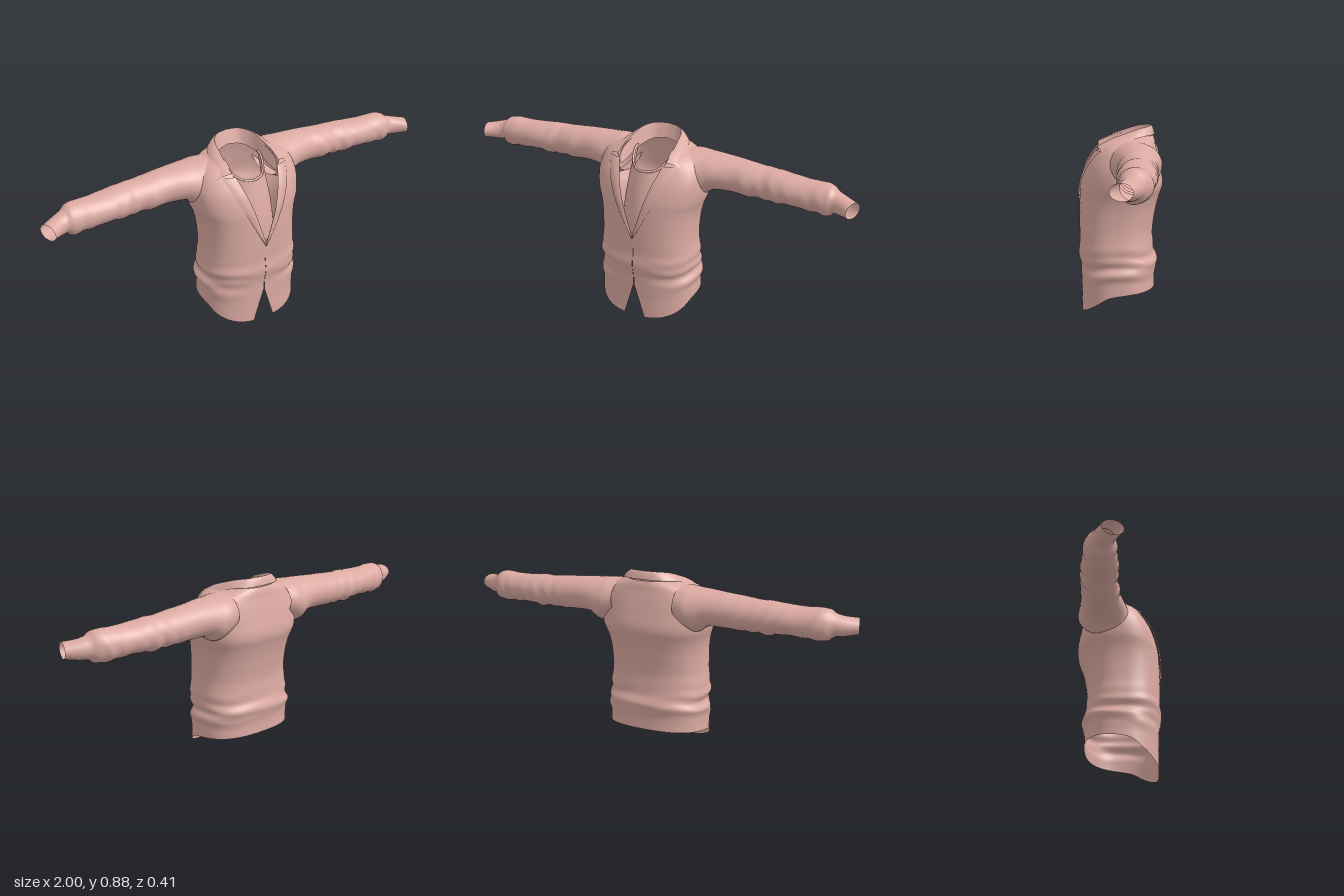
import * as THREE from 'three';

const cloth = new THREE.MeshStandardMaterial({ color: 0xdbaaa2, side: THREE.DoubleSide });
cloth.name = 'dusty pink cloth';

// Smooth interpolation of a table whose rows start with the key value
function at(table, t) {
  const n = table.length - 1;
  let i = 0;
  while (i < n - 1 && t > table[i + 1][0]) i++;
  const a = table[i], b = table[i + 1], h = b[0] - a[0];
  const k = Math.min(1, Math.max(0, (t - a[0]) / h));
  const slope = (j, c) => {
    const p = table[Math.max(0, j - 1)], q = table[Math.min(n, j + 1)];
    return (q[c] - p[c]) / (q[0] - p[0]);
  };
  return a.slice(1).map((v, j) => {
    const c = j + 1, k2 = k * k, k3 = k2 * k;
    return v * (2 * k3 - 3 * k2 + 1) + b[c] * (3 * k2 - 2 * k3)
      + h * (slope(i, c) * (k3 - 2 * k2 + k) + slope(i + 1, c) * (k3 - k2));
  });
}

// Grid surface from point(u, v) with u and v in 0..1; wrap closes it along u
function surface(name, nu, nv, point, wrap = false) {
  const pos = [], index = [], cols = wrap ? nu : nu + 1;
  for (let j = 0; j <= nv; j++)
    for (let i = 0; i < cols; i++) pos.push(...point(i / nu, j / nv));
  for (let j = 0; j < nv; j++)
    for (let i = 0; i < nu; i++) {
      const a = j * cols + i, b = j * cols + (i + 1) % cols;
      index.push(a, b, a + cols, b, b + cols, a + cols);
    }
  const g = new THREE.BufferGeometry();
  g.setAttribute('position', new THREE.Float32BufferAttribute(pos, 3));
  g.setIndex(index);
  g.computeVertexNormals();
  const mesh = new THREE.Mesh(g, cloth);
  mesh.name = name;
  return mesh;
}

// Torso: height, half width, front z, back z
const BODY = [
  [0, 0.243, 0.19, -0.16], [0.1, 0.243, 0.19, -0.16], [0.17, 0.252, 0.192, -0.168],
  [0.22, 0.238, 0.193, -0.174], [0.29, 0.243, 0.205, -0.157], [0.34, 0.24, 0.199, -0.153],
  [0.4, 0.233, 0.2, -0.15], [0.5, 0.235, 0.2, -0.165], [0.56, 0.245, 0.198, -0.18],
  [0.62, 0.265, 0.193, -0.197], [0.7, 0.27, 0.17, -0.185], [0.76, 0.255, 0.138, -0.172],
  [0.8, 0.225, 0.11, -0.162], [0.825, 0.175, 0.085, -0.158], [0.845, 0.115, 0.06, -0.15],
];
const POWER = 2.5;
// Half width of the front opening: hem slit below, neck V above
const VEE = [[0.43, 0], [0.52, 0.03], [0.62, 0.062], [0.7, 0.088], [0.8, 0.12], [0.85, 0.113]];
const opening = (y) => (y < 0.18 ? 0.055 * (1 - y / 0.18) : y > 0.43 ? at(VEE, y)[0] : 0.0005);

function frontZ(x, y) {
  const [w, f, b] = at(BODY, y), c = (f + b) / 2;
  return c + (f - c) * Math.pow(Math.max(0, 1 - Math.pow(Math.abs(x) / w, POWER)), 1 / POWER);
}

function torsoPoint(u, v) {
  const row = v * 0.845;
  const [w, f, b] = at(BODY, row);
  const c = (f + b) / 2, r = (f - b) / 2;
  const start = Math.asin(Math.min(0.999, Math.pow(opening(row) / w, POWER / 2)));
  const a = start + u * (2 * Math.PI - 2 * start);
  const s = Math.sin(a), k = Math.cos(a);
  let x = w * Math.sign(s) * Math.pow(Math.abs(s), 2 / POWER);
  let z = c + r * Math.sign(k) * Math.pow(Math.abs(k), 2 / POWER);
  // Hem sweeps up from the front points to the back
  const hem = at([[-0.18, 0.13], [0.05, 0.104], [0.12, 0.06], [0.2, 0]], z)[0];
  const y = row < 0.3 ? hem + (row / 0.3) * (0.3 - hem) : row;
  // Gathered folds round the waist
  const band = Math.exp(-Math.pow((y - 0.26) / 0.07, 2)) * Math.min(1, Math.abs(s) * 1.5);
  const fold = 1 + 0.018 * band * Math.sin(y * 95 + x * 9 + Math.sin(a * 3));
  return [x * fold, y, c + (z - c) * fold];
}

// Sleeve: x, centre y, centre z, radius y, radius z
const SLEEVE = [
  [0.16, 0.742, -0.055, 0.086, 0.118], [0.21, 0.73, -0.062, 0.098, 0.124],
  [0.25, 0.722, -0.065, 0.103, 0.118], [0.3, 0.736, -0.067, 0.086, 0.106],
  [0.4, 0.735, -0.073, 0.08, 0.09], [0.47, 0.73, -0.07, 0.079, 0.09],
  [0.54, 0.728, -0.073, 0.075, 0.083], [0.6, 0.725, -0.069, 0.077, 0.085],
  [0.68, 0.726, -0.064, 0.069, 0.085], [0.76, 0.722, -0.06, 0.07, 0.077],
  [0.83, 0.722, -0.056, 0.073, 0.073], [0.87, 0.72, -0.05, 0.07, 0.065],
  [0.89, 0.722, -0.045, 0.053, 0.052], [0.93, 0.718, -0.03, 0.045, 0.048],
  [0.985, 0.718, 0.002, 0.036, 0.047],
];
function sleevePoint(side) {
  return (u, v) => {
    const x = 0.16 + v * 0.825, a = u * 2 * Math.PI;
    const [cy, cz, ry, rz] = at(SLEEVE, x);
    // Elbow and cuff creases, strongest underneath
    const zone = Math.exp(-Math.pow((x - 0.58) / 0.1, 2)) + Math.exp(-Math.pow((x - 0.82) / 0.06, 2));
    const fold = 1 + 0.045 * zone * Math.sin(x * 85 + Math.sin(a * 2) * 1.5) * (0.6 - 0.4 * Math.sin(a));
    const y = cy + ry * fold * Math.sin(a), z = cz + rz * fold * Math.cos(a);
    const slant = Math.max(0, (x - 0.87) / 0.115);
    return [side * (x - slant * (z - cz) * 0.32), y, z];
  };
}

// Collar rows from the back centre to the front tip: t, x, y, z
const CREST = [[0, 0, 0.89, -0.142], [0.2, 0.06, 0.888, -0.128], [0.4, 0.1, 0.879, -0.08],
  [0.6, 0.115, 0.858, -0.015], [0.8, 0.125, 0.834, 0.05], [1, 0.128, 0.802, 0.112]];
const FALL = [[0, 0, 0.852, -0.158], [0.2, 0.08, 0.85, -0.146], [0.4, 0.135, 0.845, -0.095],
  [0.6, 0.165, 0.826, -0.025], [0.8, 0.186, 0.8, 0.04], [1, 0.205, 0.77, 0.085]];
const STAND = [[0, 0, 0.825, -0.118], [0.2, 0.058, 0.815, -0.105], [0.4, 0.09, 0.8, -0.06],
  [0.6, 0.1, 0.785, 0], [0.8, 0.105, 0.765, 0.06], [1, 0.108, 0.755, 0.118]];
function collarPoint(from, to, puff) {
  return (u, v) => {
    const t = u * 2 - 1, side = Math.sign(t);
    const a = at(from, Math.abs(t)), b = at(to, Math.abs(t));
    const p = a.map((q, i) => q + (b[i] - q) * v);
    return [side * p[0], p[1] + puff * Math.sin(v * Math.PI), p[2]];
  };
}

// Lapel: height, outer edge x
const LAPEL = [[0.43, 0.004], [0.52, 0.055], [0.62, 0.104], [0.7, 0.142], [0.785, 0.175]];
function lapelPoint(side) {
  return (u, v) => {
    const y = 0.43 + v * 0.355;
    const inner = opening(y) - 0.004, outer = at(LAPEL, y)[0];
    const x = inner + (outer - inner) * u;
    const lift = 0.004 + 0.006 * Math.sin(Math.PI * Math.min(1, u * 0.8 + 0.1));
    return [side * Math.max(0.001, x), y, frontZ(x, y) + lift];
  };
}

// Undershirt front with a scooped neckline
function shirtPoint(u, v) {
  const a = (u - 0.5) * Math.PI * 1.1;
  const top = 0.73 + 0.075 * Math.pow(1 - Math.max(0, Math.cos(a)), 1.3);
  const y = top + (0.42 - top) * v;
  const bulge = Math.sin(v * Math.PI / 2);
  return [Math.sin(a) * (0.095 + 0.05 * bulge), y, Math.cos(a) * (0.1 + 0.055 * bulge)];
}

export function createModel() {
  const jacket = new THREE.Group();
  jacket.name = 'jacket';
  jacket.add(surface('torso', 96, 72, torsoPoint));

  for (const [side, label] of [[1, 'left'], [-1, 'right']]) {
    jacket.add(surface(label + 'Sleeve', 32, 90, sleevePoint(side), true));
    jacket.add(surface(label + 'Lapel', 6, 24, lapelPoint(side)));
  }

  jacket.add(surface('collarFall', 48, 6, collarPoint(CREST, FALL, 0.006)));
  jacket.add(surface('collarStand', 48, 4, collarPoint(STAND, CREST, 0)));

  jacket.add(surface('undershirt', 32, 12, shirtPoint));
  // Raised neckline band
  const rim = [];
  for (let i = 0; i <= 16; i++) {
    const [x, y, z] = shirtPoint(i / 16, 0);
    rim.push(new THREE.Vector3(x, y, z));
  }
  const band = new THREE.Mesh(new THREE.TubeGeometry(new THREE.CatmullRomCurve3(rim), 40, 0.006, 6), cloth);
  band.name = 'necklineBand';
  jacket.add(band);
  return jacket;
}
